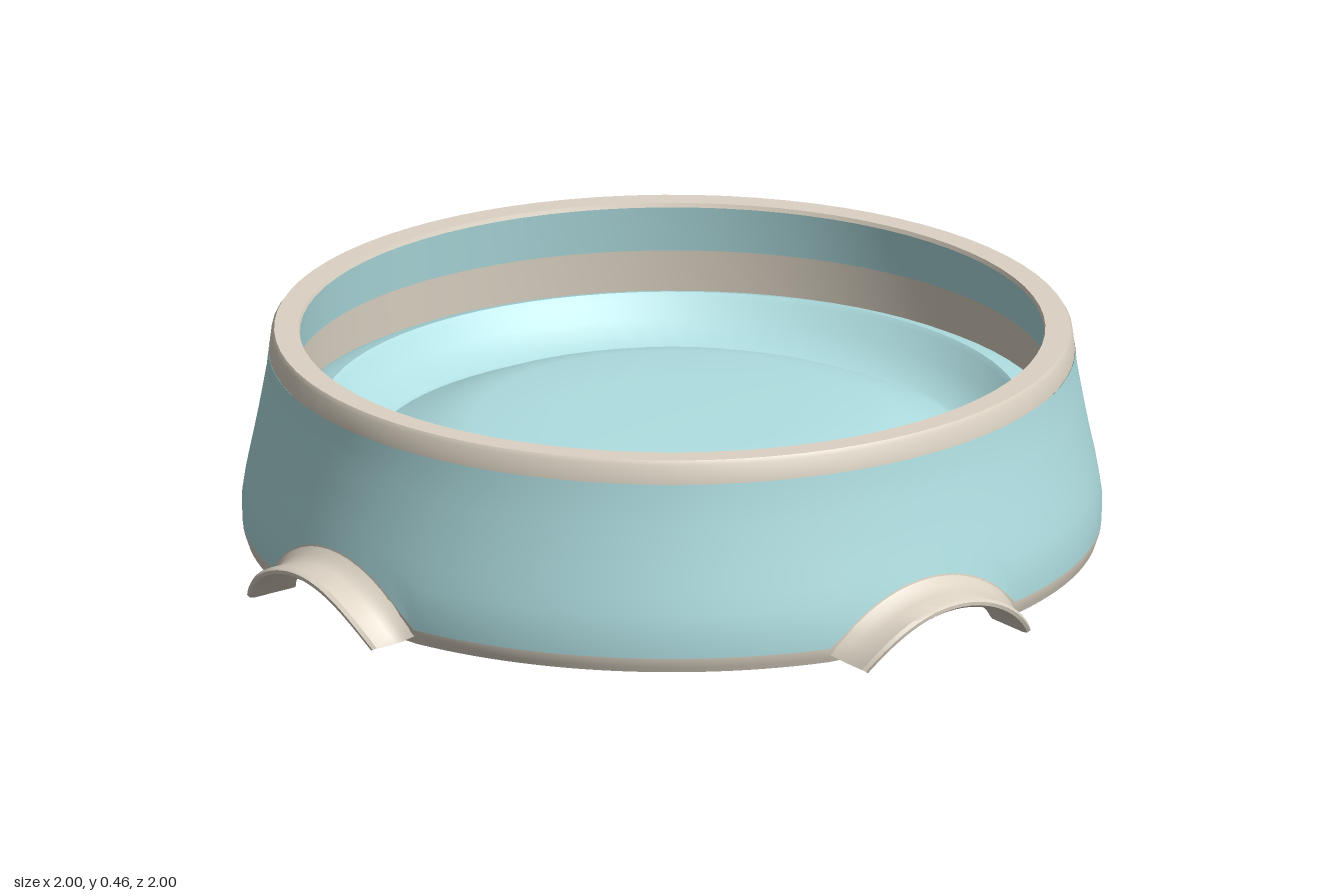
import * as THREE from 'three';
import { toCreasedNormals } from 'three/addons/utils/BufferGeometryUtils.js';

const SEG = 160;
const ARCH_R = 0.274, ARCH_Y = -0.149, ARCH_END = 0.96;

// Outer wall radius at a given height
const WALL = [[0, 0.902], [0.03, 0.912], [0.08, 0.914], [0.14, 0.905], [0.25, 0.882], [0.36, 0.862], [0.47, 0.85]];
function wallRadius(y) {
  for (let i = 1; i < WALL.length; i++) {
    const [y0, r0] = WALL[i - 1], [y1, r1] = WALL[i];
    if (y <= y1) return r0 + (r1 - r0) * (y - y0) / (y1 - y0);
  }
  return 0.85;
}

// Height of the foot arch at angle a (repeats on four sides)
function archHeight(a, radius, floor) {
  const q = Math.PI / 2;
  const local = a - Math.round(a / q) * q;
  const x = 0.91 * Math.sin(local);
  const s = radius * radius - x * x;
  return s > 0 ? Math.max(floor, ARCH_Y + Math.sqrt(s)) : floor;
}

// Grid surface from fn(u, v) -> [x, y, z]
function sheet(nu, nv, fn) {
  const pos = [], idx = [];
  for (let i = 0; i <= nu; i++)
    for (let j = 0; j <= nv; j++) pos.push(...fn(i / nu, j / nv));
  for (let i = 0; i < nu; i++)
    for (let j = 0; j < nv; j++) {
      const a = i * (nv + 1) + j, b = a + nv + 1;
      idx.push(a, b, a + 1, b, b + 1, a + 1);
    }
  const g = new THREE.BufferGeometry();
  g.setAttribute('position', new THREE.Float32BufferAttribute(pos, 3));
  g.setIndex(idx);
  return toCreasedNormals(g, 0.6);
}

// Band around the bowl between two heights that depend on the angle
function wallBand(low, high, inset, rows) {
  return sheet(SEG, rows, (u, v) => {
    const a = u * Math.PI * 2;
    const y = low(a) + (high(a) - low(a)) * v;
    const r = wallRadius(y) - inset;
    return [r * Math.sin(a), y, r * Math.cos(a)];
  });
}

function lathe(points) {
  const g = new THREE.LatheGeometry(points.map(([r, y]) => new THREE.Vector2(r, y)), 80);
  return toCreasedNormals(g, 0.5);
}

export function createModel() {
  const teal = new THREE.MeshStandardMaterial({ color: 0xb0dfe2, side: THREE.DoubleSide });
  teal.name = 'teal';
  const trim = new THREE.MeshStandardMaterial({ color: 0xdcd3c4, side: THREE.DoubleSide });
  trim.name = 'beige trim';

  const group = new THREE.Group();
  group.name = 'bowl';
  const add = (name, geometry, material) => {
    const m = new THREE.Mesh(geometry, material);
    m.name = name;
    group.add(m);
    return m;
  };

  const edge = a => archHeight(a, ARCH_R - 0.01, 0.005);
  const trimTop = a => archHeight(a, ARCH_R + 0.03, 0.038);

  // Outer wall with its beige base border
  add('baseTrim', wallBand(edge, trimTop, 0, 3), trim);
  add('outerWall', wallBand(trimTop, () => 0.41, 0, 8), teal);

  // Flat top rim with small bevelled edges
  add('rim', lathe([[0.856, 0.41], [0.851, 0.452], [0.845, 0.461], [0.793, 0.461], [0.79, 0.452]]), trim);

  // Inside wall, widening a little downward
  add('innerWall', lathe([[0.79, 0.452], [0.805, 0.35]]), teal);
  add('innerBand', lathe([[0.805, 0.35], [0.812, 0.25]]), trim);

  // Food dish: ledge, sloping side and domed floor
  add('dish', lathe([[0.812, 0.252], [0.785, 0.266], [0.745, 0.278], [0.735, 0.268], [0.71, 0.228],
    [0.65, 0.184], [0.64, 0.182], [0.6, 0.2], [0.54, 0.226], [0.48, 0.248], [0.42, 0.26], [0.25, 0.265], [0, 0.265]]), teal);

  // Underside: skirt lining, wall edge, hollow and base
  add('skirtLining', wallBand(edge, () => 0.2, 0.025, 4), trim);
  add('skirtEdge', sheet(SEG, 1, (u, v) => {
    const a = u * Math.PI * 2, y = edge(a), r = wallRadius(y) - 0.025 * (1 - v);
    return [r * Math.sin(a), y, r * Math.cos(a)];
  }), trim);
  add('underside', lathe([[0.7, 0.016], [0.735, 0.045], [0.765, 0.095], [0.79, 0.16], [0.815, 0.2], [0.845, 0.215], [0.868, 0.2]]), trim);
  add('basePlate', lathe([[0, 0.012], [0.695, 0.012], [0.702, 0.018]]), teal);

  // Flared arch lips on the four sides
  // Cross-section: arch radius offset and fraction of the reach from the wall
  const section = [[-0.02, -0.35], [-0.02, 0.9], [-0.014, 1], [-0.006, 1],
    [0, 0.9], [0, 0.35], [0.012, 0.12], [0.028, -0.02]];
  const lipGeometry = sheet(28, section.length - 1, (u, v) => {
    const [dr, f] = section[Math.round(v * (section.length - 1))];
    const t = (u * 2 - 1) * ARCH_END;
    const r = ARCH_R + dr;
    const x = r * Math.sin(t);
    const y = Math.max(0, ARCH_Y + r * Math.cos(t));
    const wr = wallRadius(y);
    const start = Math.sqrt(wr * wr - x * x);
    const end = 0.965 + 0.035 * (1 - (1 - Math.min(1, y / 0.12)) ** 1.7);
    return [x, y, start + (end - start) * f];
  });
  for (let i = 0; i < 4; i++) {
    const lip = add('archLip' + (i + 1), lipGeometry, trim);
    lip.rotation.y = i * Math.PI / 2;
  }

  return group;
}
